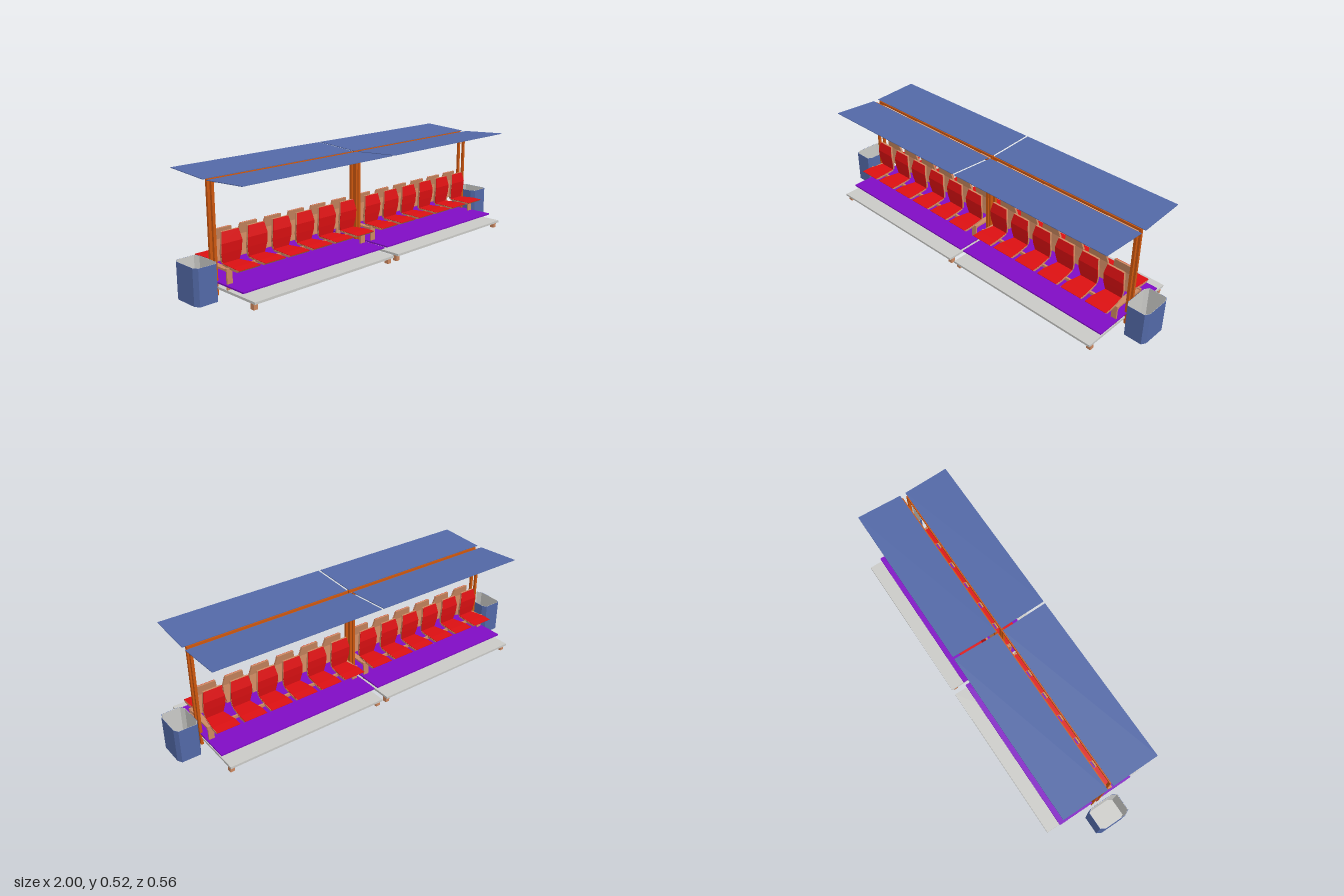
import * as THREE from 'three';

const mat = (name, color) => {
  const m = new THREE.MeshStandardMaterial({ color });
  m.name = name;
  return m;
};

// Solid through flat cross-sections [halfWidth, frontY, frontZ, backY, backZ]
function loft(sections) {
  const rings = sections.map(([w, fy, fz, by, bz]) =>
    [[-w, fy, fz], [w, fy, fz], [w, by, bz], [-w, by, bz]]);
  const pos = [];
  const quad = (a, b, c, d) => pos.push(...a, ...b, ...c, ...a, ...c, ...d);
  for (let i = 0; i < rings.length - 1; i++) {
    const p = rings[i], q = rings[i + 1];
    for (let k = 0; k < 4; k++) {
      const n = (k + 1) % 4;
      quad(p[k], p[n], q[n], q[k]);
    }
  }
  const [s, e] = [rings[0], rings[rings.length - 1]];
  quad(s[3], s[2], s[1], s[0]);
  quad(...e);
  const g = new THREE.BufferGeometry();
  g.setAttribute('position', new THREE.Float32BufferAttribute(pos, 3));
  g.computeVertexNormals();
  return g;
}

// Barrel-sided outline of a bin, in plan
function binOutline(hx, hz) {
  const c = 0.013;
  return [[hx, -hz * 0.72], [hx, hz * 0.72], [hx - c, hz], [-hx + c, hz],
    [-hx, hz * 0.72], [-hx, -hz * 0.72], [-hx + c, -hz], [hx - c, -hz]]
    .map(([x, y]) => new THREE.Vector2(x, y));
}

function upright(outer, inner, height) {
  const shape = new THREE.Shape(outer);
  if (inner) shape.holes.push(new THREE.Path(inner));
  return new THREE.ExtrudeGeometry(shape, { depth: height, bevelEnabled: false }).rotateX(-Math.PI / 2);
}

export function createModel() {
  const blue = mat('blue panel', 0x5268a6);
  const red = mat('red upholstery', 0xdc1012);
  const tan = mat('tan frame', 0xcc8860);
  const orange = mat('orange post', 0xcb560e);
  const purple = mat('purple deck', 0x800cc4);
  const grey = mat('light grey', 0xc9c9c6);

  const model = new THREE.Group();
  model.name = 'doubleSidedShelterBench';

  const add = (parent, name, geo, material) => {
    const m = new THREE.Mesh(geo, material);
    m.name = name;
    parent.add(m);
    return m;
  };
  // Box given by its extents
  const box = (parent, name, material, x0, x1, y0, y1, z0, z1) => {
    const m = add(parent, name, new THREE.BoxGeometry(x1 - x0, y1 - y0, z1 - z0), material);
    m.position.set((x0 + x1) / 2, (y0 + y1) / 2, (z0 + z1) / 2);
    return m;
  };

  // Seat shapes: backrest rises, pan runs from front edge to rear
  const backPath = [[0.046, 0.14, 0.029], [0.055, 0.185, 0.036], [0.055, 0.23, 0.041], [0.045, 0.28, 0.031]];
  const backShell = loft(backPath.map(([w, y, z]) => [w, y, z, y, z - 0.01]));
  const backPad = loft(backPath.map(([w, y, z]) => [w - 0.001, y, z + 0.0015, y, z]));
  const panPath = [[0.058, 0.14, 0.161, 0.15], [0.058, 0.142, 0.115, 0.115], [0.045, 0.138, 0.028, 0.028]];
  const panShell = loft(panPath.map(([w, y, z, zb]) => [w, y, z, 0.131, zb]));
  const panPad = loft(panPath.map(([w, y, z]) => [w - 0.001, y + 0.0015, z, y, z]));

  const addSeat = (parent, x) => {
    const seat = new THREE.Group();
    seat.name = 'seat';
    seat.position.x = x;
    add(seat, 'backShell', backShell, tan);
    add(seat, 'backCushion', backPad, red);
    add(seat, 'seatPan', panShell, tan);
    add(seat, 'seatCushion', panPad, red);
    parent.add(seat);
  };

  // One side of the bench; the other side is the same turned half round
  for (const turn of [0, Math.PI]) {
    const side = new THREE.Group();
    side.name = turn ? 'backRow' : 'frontRow';
    side.rotation.y = turn;
    side.position.z = 0.003;
    model.add(side);

    for (const s of [-1, 1]) {
      const bay = new THREE.Group();
      bay.name = s < 0 ? 'rightBay' : 'leftBay';
      side.add(bay);
      // Extents measured outward from the middle
      const span = (name, m, a, b, ...rest) =>
        box(bay, name, m, Math.min(s * a, s * b), Math.max(s * a, s * b), ...rest);

      for (let i = 0; i < 6; i++) addSeat(bay, s * (0.087 + i * 0.1396));

      // Seat frame
      span('seatRail', tan, 0.02, 0.855, 0.122, 0.136, 0.08, 0.09);
      for (const a of [0.022, 0.824]) {
        span('seatLeg', tan, a, a + 0.028, 0.04, 0.13, 0.082, 0.09);
        span('crossBar', tan, a, a + 0.028, 0.122, 0.131, 0, 0.082);
      }

      // Posts and top rail
      for (const a of [0.003, 0.85]) span('post', orange, a, a + 0.013, 0, 0.507, 0.0095, 0.022);
      span('topRail', orange, 0.016, 0.85, 0.494, 0.507, 0.0095, 0.022);

      // Roof wing, rising outward
      const roof = add(bay, 'roofPanel', new THREE.BoxGeometry(0.874, 0.003, 0.239), blue);
      roof.position.set(s * 0.443, 0.515, 0.1345);
      roof.rotation.x = -Math.atan2(0.014, 0.236);
    }
  }

  // Base slabs with feet, and the raised decks above
  for (const s of [-1, 1]) {
    const base = new THREE.Group();
    base.name = s < 0 ? 'rightBase' : 'leftBase';
    model.add(base);
    const cx = s * 0.435;
    box(base, 'baseSlab', grey, cx - 0.42, cx + 0.42, 0.029, 0.04, -0.281, 0.281);
    box(base, 'deck', purple, cx - 0.426, cx + 0.426, 0.059, 0.066, -0.213, 0.213);
    for (const dx of [-0.405, 0.405]) for (const z of [-0.256, 0.256])
      box(base, 'foot', tan, cx + dx - 0.011, cx + dx + 0.011, 0, 0.029, z - 0.011, z + 0.011);

    // Waste bin
    const bin = new THREE.Group();
    bin.name = s < 0 ? 'rightBin' : 'leftBin';
    bin.position.set(s * 0.942, 0, 0.003);
    model.add(bin);
    const [o, m, n] = [[0.058, 0.082], [0.057, 0.081], [0.056, 0.08]].map(([a, b]) => binOutline(a, b));
    add(bin, 'binWall', upright(o, m, 0.168), blue);
    add(bin, 'binLining', upright(m, n, 0.168), grey);
    add(bin, 'binFloor', upright(n, null, 0.004), grey);
  }
  return model;
}
